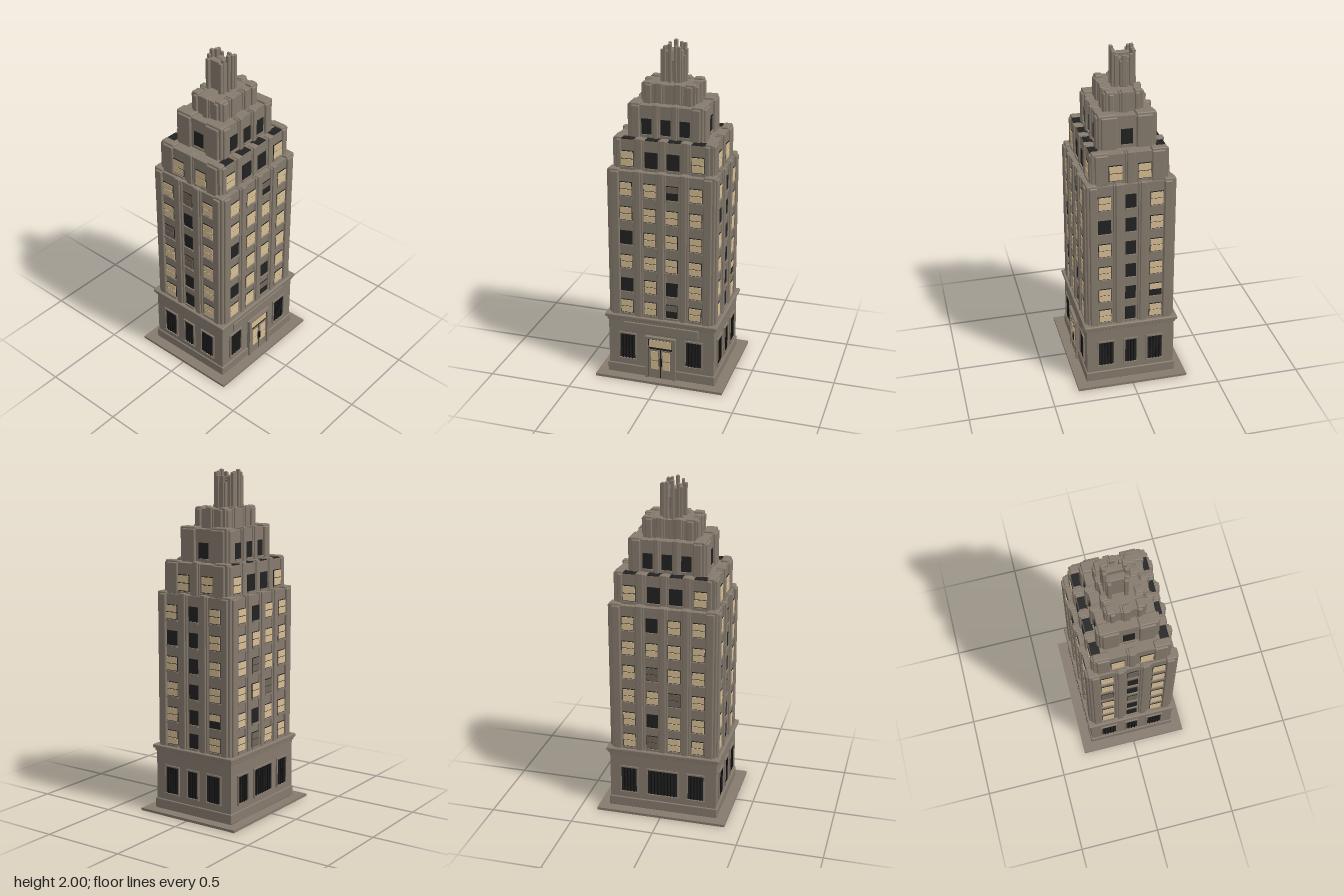
import * as THREE from 'three';
import { RoundedBoxGeometry } from 'three/addons/geometries/RoundedBoxGeometry.js';

const material = (name, color) => {
  const m = new THREE.MeshStandardMaterial({ color });
  m.name = name;
  return m;
};
const stone = material('stone', 0x857a6d);
const dark = material('darkGlass', 0x222222);
const bars = material('ironBars', 0x111111);
const lit = material('litGlass', 0xd6bd93);
const dim = material('dimGlass', 0x70665a);

// Box given by its lower and upper limits; r rounds the edges
function block(parent, name, mat, x0, x1, y0, y1, z0, z1, r = 0) {
  const s = [x1 - x0, y1 - y0, z1 - z0];
  const geo = r ? new RoundedBoxGeometry(...s, 2, r) : new THREE.BoxGeometry(...s);
  const mesh = new THREE.Mesh(geo, mat);
  mesh.name = name;
  mesh.position.set((x0 + x1) / 2, (y0 + y1) / 2, (z0 + z1) / 2);
  parent.add(mesh);
  return mesh;
}

// Group whose local +z points out of one facade: 0 front, 1 right side, 2 back, 3 other side
function facade(parent, name, side) {
  const g = new THREE.Group();
  g.name = name;
  g.rotation.y = side * Math.PI / 2;
  parent.add(g);
  return g;
}

// Sash window: L lit, D dark, S dim, W dim over dark, H lit over dark
const PANES = { L: [lit, lit], D: [null, null], S: [dim, dim], W: [dim, null], H: [lit, null] };
function sashWindow(parent, x, y, w, h, z, code) {
  const g = new THREE.Group();
  g.name = 'window';
  parent.add(g);
  block(g, 'windowFrame', dark, x - w / 2, x + w / 2, y - h / 2, y + h / 2, z - 0.003, z + 0.004);
  PANES[code].forEach((m, i) => {
    if (!m) return;
    const cy = y + (i ? -1 : 1) * h * 0.24;
    block(g, 'pane', m, x - w * 0.47, x + w * 0.47, cy - h * 0.215, cy + h * 0.215, z, z + 0.007);
  });
  block(g, 'sill', stone, x - w * 0.53, x + w * 0.53, y - h / 2 - 0.012, y - h / 2, z - 0.003, z + 0.012);
}

// Large barred window with a stone surround
function barredWindow(parent, x, y0, y1, w, z) {
  const g = new THREE.Group();
  g.name = 'groundWindow';
  parent.add(g);
  const a = x - w / 2, b = x + w / 2, t = 0.009;
  block(g, 'glass', dark, a, b, y0, y1, z - 0.003, z + 0.003);
  block(g, 'leftSurround', stone, a - t, a, y0 - t, y1 + t, z - 0.005, z + 0.009);
  block(g, 'rightSurround', stone, b, b + t, y0 - t, y1 + t, z - 0.005, z + 0.009);
  block(g, 'head', stone, a, b, y1, y1 + t, z - 0.005, z + 0.009);
  block(g, 'sill', stone, a - t, b + t, y0 - t, y0, z - 0.005, z + 0.013);
  const n = Math.round(w / 0.02);
  for (let i = 1; i < n; i++) {
    const bx = a + (w * i) / n;
    block(g, 'bar', bars, bx - 0.003, bx + 0.003, y0, y1, z + 0.002, z + 0.008);
  }
}

// One setback tier: core, stepped corners and stepped piers
function tier(parent, t) {
  const g = new THREE.Group();
  g.name = t.name;
  parent.add(g);
  const { hw, hd, y0, y1, cx, cz, inset } = t;
  block(g, 'core', stone, -hw + inset, hw - inset, y0, y1 - 0.012, -hd + inset, hd - inset);
  for (const sx of [-1, 1]) for (const sz of [-1, 1]) {
    [[0.028, 0, 0.012], [0.012, 0.012, 0], [0, 0.028, 0.012]].forEach(([dx, dz, drop]) => {
      const xs = [sx * cx, sx * (hw - dx)].sort((a, b) => a - b);
      const zs = [sz * cz, sz * (hd - dz)].sort((a, b) => a - b);
      block(g, 'cornerPier', stone, xs[0], xs[1], y0, y1 - drop, zs[0], zs[1], 0.007);
    });
  }
  for (let side = 0; side < 4; side++) {
    const long = side % 2 === 0;
    const d = long ? hd : hw;
    const f = facade(g, 'facade', side);
    for (const x of long ? t.piersX : t.piersZ) {
      const w = t.pierW / 2;
      block(f, 'pier', stone, x - w, x + w, y0, y1 - 0.006, d - 0.05, d - 0.007, 0.005);
      block(f, 'pierRib', stone, x - w * 0.6, x + w * 0.6, y0, y1, d - 0.045, d + 0.002, 0.005);
    }
    const cols = long ? t.colsX : t.colsZ;
    (t.windows ? t.windows[side] : []).forEach((row, r) => [...row].forEach((code, i) => {
      const [x, w] = cols[i];
      // The opposite facades mirror the column positions
      sashWindow(f, side > 1 ? -cols[cols.length - 1 - i][0] : x, t.rows[r], w, t.winH, d - inset, code);
    }));
  }
  return g;
}

export function createModel() {
  const model = new THREE.Group();
  model.name = 'setbackTower';

  // Pavement and ground floor
  block(model, 'pavement', stone, -0.393, 0.393, 0, 0.015, -0.333, 0.333);
  const ground = new THREE.Group();
  ground.name = 'groundFloor';
  model.add(ground);
  const layer = (name, hw, hd, y0, y1, r) => block(ground, name, stone, -hw, hw, y0, y1, -hd, hd, r);
  layer('groundWalls', 0.325, 0.265, 0.015, 0.4, 0);
  layer('plinth', 0.333, 0.273, 0.015, 0.075, 0.005);
  layer('lowerCornice', 0.333, 0.273, 0.365, 0.39, 0.004);
  layer('cornice', 0.344, 0.282, 0.383, 0.405, 0.006);
  const faces = [0, 1, 2, 3].map((s) => facade(ground, 'groundFacade', s));
  for (const x of [-0.207, 0.202]) {
    barredWindow(faces[0], x, 0.12, 0.28, 0.095, 0.265);
    barredWindow(faces[2], x, 0.12, 0.28, 0.095, 0.265);
  }
  barredWindow(faces[2], 0, 0.12, 0.28, 0.18, 0.265);
  for (const s of [1, 3]) {
    for (const [x, w] of [[-0.15, 0.09], [0, 0.07], [0.147, 0.09]]) {
      barredWindow(faces[s], x, 0.12, 0.28, w, 0.325);
    }
  }
  block(faces[0], 'fasciaPanel', stone, -0.23, 0.23, 0.302, 0.362, 0.26, 0.274, 0.004);

  // Entrance with a transom and two glazed leaves
  const door = new THREE.Group();
  door.name = 'entrance';
  faces[0].add(door);
  for (const s of [-1, 1]) {
    block(door, 'jamb', stone, s * 0.085 - 0.009, s * 0.085 + 0.009, 0.015, 0.285, 0.26, 0.286);
    block(door, 'doorLeaf', stone, s * 0.038 - 0.034, s * 0.038 + 0.034, 0.015, 0.205, 0.27, 0.279);
    for (const [y0, y1] of [[0.075, 0.128], [0.136, 0.195]]) {
      block(door, 'doorGlass', lit, s * 0.036 - 0.023, s * 0.036 + 0.023, y0, y1, 0.276, 0.282);
    }
    block(door, 'handle', bars, s * 0.008 - 0.003, s * 0.008 + 0.003, 0.1, 0.15, 0.279, 0.285);
  }
  block(door, 'doorShadow', dark, -0.076, 0.076, 0.015, 0.276, 0.27, 0.276);
  block(door, 'transom', lit, -0.07, 0.07, 0.22, 0.268, 0.274, 0.279);
  block(door, 'lintel', stone, -0.094, 0.094, 0.276, 0.29, 0.26, 0.288);

  // Main shaft
  const colsX = [[-0.21, 0.075], [-0.067, 0.075], [0.062, 0.075], [0.205, 0.075]];
  tier(model, {
    name: 'mainShaft', hw: 0.328, hd: 0.267, y0: 0.4, y1: 1.315, cx: 0.25, cz: 0.193, inset: 0.015,
    piersX: [-0.138, 0, 0.134], piersZ: [-0.072, 0.072], pierW: 0.06, colsX,
    colsZ: [[-0.152, 0.075], [0, 0.062], [0.15, 0.075]],
    rows: [1.2, 1.05, 0.9, 0.75, 0.6, 0.46], winH: 0.085,
    windows: [
      ['LLWL', 'LLLL', 'DLLL', 'LLLL', 'DLDL', 'LLWL'],
      ['LDL', 'DDL', 'LDL', 'LDL', 'LDH', 'LDL'],
      ['LDLL', 'LLLL', 'LSLL', 'LLSL', 'LDLL', 'LSLL'],
      ['LSL', 'LDL', 'SDL', 'LSL', 'LDL', 'LDL'],
    ],
  });

  // Setback tiers
  const second = tier(model, {
    name: 'secondTier', hw: 0.302, hd: 0.228, y0: 1.3, y1: 1.495, cx: 0.245, cz: 0.125, inset: 0.01,
    piersX: [-0.138, 0, 0.134], piersZ: [0], pierW: 0.06, colsX,
    colsZ: [[-0.083, 0.078], [0.083, 0.078]],
    rows: [1.37], winH: 0.095, windows: [['LDDL'], ['LL'], ['LDDL'], ['LL']],
  });
  for (const [x, w] of colsX) for (const s of [-1, 1]) {
    block(second, 'roofLight', dark, x - w / 2, x + w / 2, 1.48, 1.487, s * 0.192 - 0.025, s * 0.192 + 0.025);
  }
  tier(model, {
    name: 'thirdTier', hw: 0.23, hd: 0.175, y0: 1.475, y1: 1.683, cx: 0.152, cz: 0.055, inset: 0.015,
    piersX: [-0.057, 0.056], piersZ: [], pierW: 0.045,
    colsX: [[-0.113, 0.058], [0, 0.058], [0.111, 0.058]], colsZ: [[0, 0.065]],
    rows: [1.55], winH: 0.09, windows: [['DDD'], ['D'], ['DDD'], ['D']],
  });
  tier(model, {
    name: 'fourthTier', hw: 0.166, hd: 0.116, y0: 1.665, y1: 1.792, cx: 0.1, cz: 0.06, inset: 0.012,
    piersX: [-0.055, 0.055], piersZ: [0], pierW: 0.06,
  });

  // Crown of upright fins around a slotted core
  const crown = new THREE.Group();
  crown.name = 'crown';
  crown.position.set(0, 0, -0.022);
  model.add(crown);
  block(crown, 'crownSlab', stone, -0.046, -0.006, 1.78, 1.955, -0.056, 0.056, 0.004);
  block(crown, 'crownSlab', stone, 0.012, 0.045, 1.78, 1.945, -0.056, 0.056, 0.004);
  block(crown, 'crownCore', stone, -0.04, 0.04, 1.78, 1.9, -0.04, 0.04);
  block(crown, 'sideButtress', stone, 0.03, 0.066, 1.78, 1.93, -0.024, 0.024, 0.004);
  block(crown, 'sideButtressCap', stone, 0.058, 0.073, 1.78, 1.965, -0.014, 0.014, 0.003);
  for (const s of [-1, 1]) {
    for (const [x, z, w, top] of [[-0.06, 0.045, 0.02, 1.965], [-0.046, 0.05, 0.016, 1.985],
      [-0.012, 0.058, 0.02, 2], [0.02, 0.056, 0.016, 1.99], [0.04, 0.058, 0.022, 1.985], [0.05, 0.042, 0.016, 1.965]]) {
      block(crown, 'fin', stone, x - w / 2, x + w / 2, 1.78, top, s * z - 0.011, s * z + 0.011, 0.004);
    }
  }
  return model;
}
